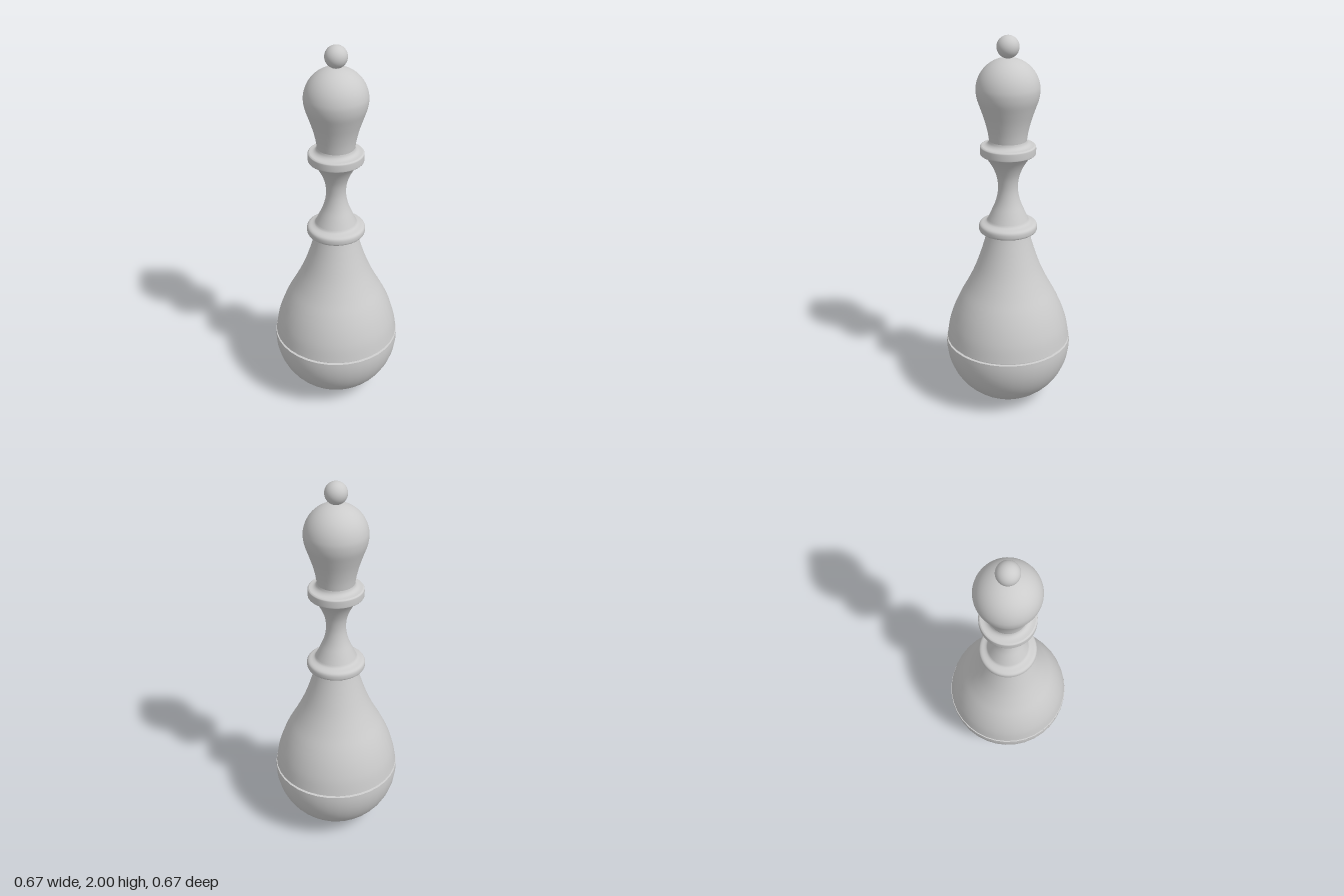
import * as THREE from 'three';

const material = new THREE.MeshStandardMaterial({ color: 0xcccccc, side: THREE.DoubleSide });
const v = ([r, y]) => new THREE.Vector2(r, y);

// Turned part from [radius, height] points, listed bottom to top; smooth ones follow a spline
function turned(name, points, sides, steps = 0) {
  const pts = points.map(v);
  const profile = steps ? new THREE.SplineCurve(pts).getPoints(steps) : pts;
  profile.forEach((p) => { p.x = Math.max(p.x, 0); });
  const mesh = new THREE.Mesh(new THREE.LatheGeometry(profile, sides), material);
  mesh.name = name;
  return mesh;
}

// Points on a circular arc centred on [r, y], angles in degrees
function arc(r, y, radius, from, to, count) {
  return Array.from({ length: count + 1 }, (_, i) => {
    const a = THREE.MathUtils.degToRad(from + ((to - from) * i) / count);
    return [Math.max(r + radius * Math.cos(a), 0), y + radius * Math.sin(a)];
  });
}

export function createModel() {
  const model = new THREE.Group();
  model.name = 'turnedPiece';

  // Round base: a ball cut off just above its equator
  model.add(turned('baseBowl', arc(0, 0.336, 0.336, -90, 4, 28), 36));
  model.add(turned('baseRim', [[0.335, 0.359], [0.322, 0.361]], 36));

  // Recessed seam between base and body
  model.add(turned('seam', [[0.322, 0.359], [0.322, 0.373]], 36));
  model.add(turned('bodyRim', [[0.322, 0.371], [0.332, 0.371]], 36));

  // Pear-shaped body
  model.add(turned('body', [
    [0.332, 0.371], [0.318, 0.45], [0.293, 0.53], [0.26, 0.605], [0.217, 0.685],
    [0.177, 0.77], [0.144, 0.86], [0.12, 0.94], [0.108, 0.99],
  ], 36, 32));

  // Lower collar
  model.add(turned('lowerCollarUnderside', [[0.1, 0.986], [0.138, 0.986]], 48));
  model.add(turned('lowerCollar', [
    [0.138, 0.986], [0.147, 0.989], [0.151, 0.996], [0.152, 1.008], [0.151, 1.018],
    [0.147, 1.026], [0.138, 1.032], [0.122, 1.037], [0.111, 1.043], [0.105, 1.052],
  ], 48, 30));

  // Waisted neck
  model.add(turned('neck', [
    [0.106, 1.05], [0.086, 1.095], [0.067, 1.14], [0.055, 1.185], [0.051, 1.23],
    [0.057, 1.28], [0.073, 1.325], [0.095, 1.365], [0.123, 1.402],
  ], 48, 32));

  // Upper collar
  model.add(turned('upperCollarUnderside', [[0.11, 1.402], [0.134, 1.402]], 48));
  model.add(turned('upperCollar', [
    [0.134, 1.402], [0.14, 1.405], [0.142, 1.412], [0.142, 1.44], [0.14, 1.447], [0.134, 1.451],
  ], 48, 20));
  model.add(turned('upperCollarTop', [
    [0.134, 1.451], [0.118, 1.453], [0.107, 1.458], [0.099, 1.467], [0.095, 1.48],
  ], 48, 12));

  // Head: flared stem flowing into a dome
  model.add(turned('head', [
    [0.094, 1.465], [0.102, 1.52], [0.117, 1.58], [0.137, 1.64], [0.154, 1.69],
    ...arc(0, 1.732, 0.16, 0, 90, 8),
  ], 48, 48));

  // Finial ball
  const finial = new THREE.Mesh(new THREE.SphereGeometry(0.056, 40, 24), material);
  finial.name = 'finialBall';
  finial.position.y = 1.944;
  model.add(finial);

  return model;
}
